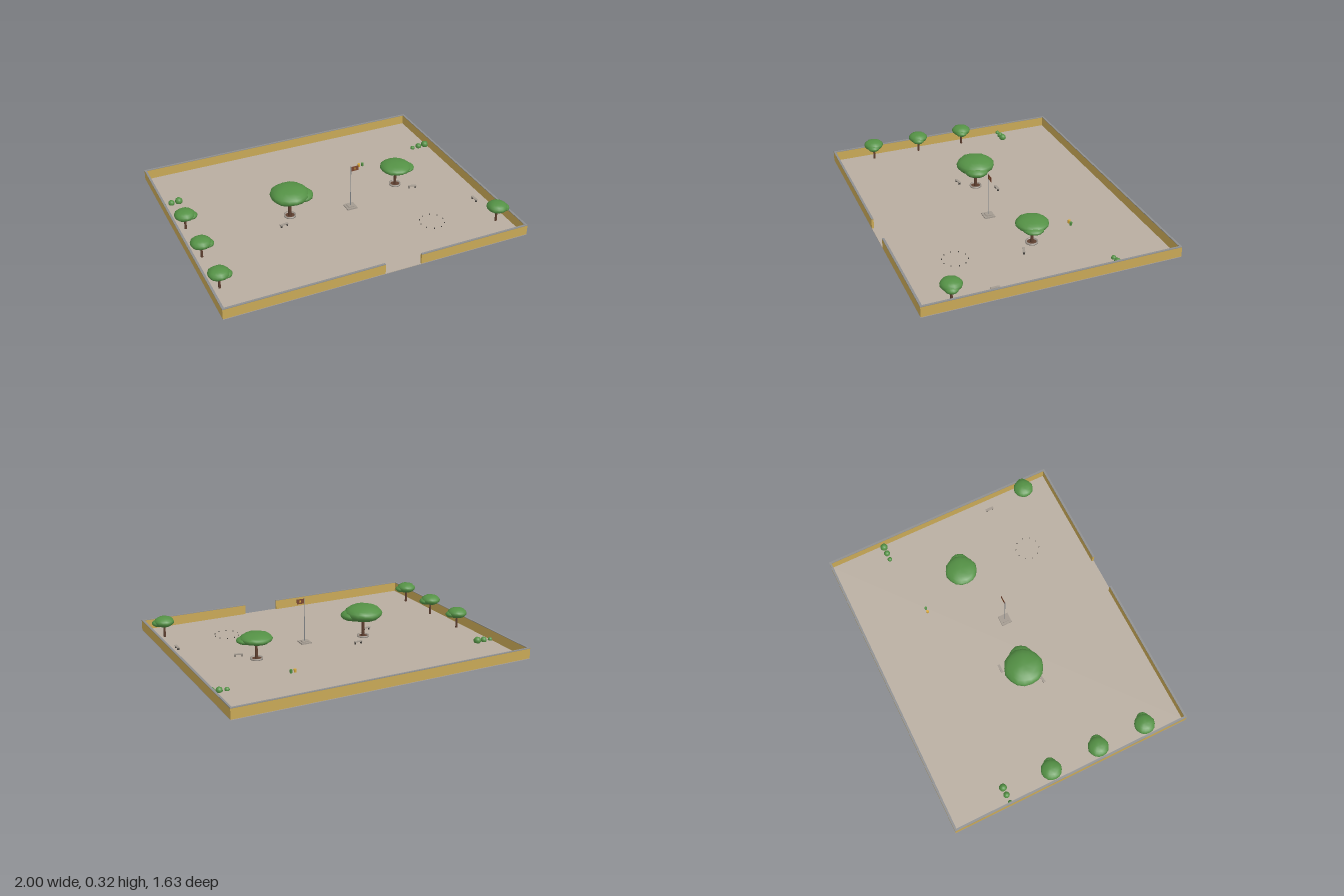
import * as THREE from 'three';
import { mergeVertices } from 'three/addons/utils/BufferGeometryUtils.js';

const mat = (name, color, side = THREE.FrontSide) => {
  const m = new THREE.MeshStandardMaterial({ color, side });
  m.name = name;
  return m;
};

export function createModel() {
  const M = {
    paving: mat('paving', 0xb8ada0),
    wall: mat('ochreWall', 0xc9a957),
    cap: mat('capStone', 0x8e8f90),
    leaf: mat('foliage', 0x549145),
    bark: mat('bark', 0x5f4030),
    stone: mat('stone', 0xa39a90),
    metal: mat('metal', 0x8a8d90),
    flag: mat('flagCloth', 0x7a4630),
    yellow: mat('yellow', 0xd9a93a),
    dark: mat('darkMetal', 0x45423e),
  };
  const root = new THREE.Group();
  root.name = 'courtyard';
  const G = 0.012; // ground level

  const add = (parent, name, geo, material, x, y, z) => {
    const m = new THREE.Mesh(geo, material);
    m.name = name;
    m.position.set(x, y, z);
    parent.add(m);
    return m;
  };
  const box = (p, n, m, w, h, d, x, y, z) => add(p, n, new THREE.BoxGeometry(w, h, d), m, x, y, z);
  const cyl = (p, n, m, r1, r2, h, x, y, z, s = 10) =>
    add(p, n, new THREE.CylinderGeometry(r1, r2, h, s), m, x, y, z);
  const group = (name, x, z, ry = 0) => {
    const g = new THREE.Group();
    g.name = name;
    g.position.set(x, 0, z);
    g.rotation.y = ry;
    root.add(g);
    return g;
  };

  // Paved ground
  box(root, 'ground', M.paving, 2, 0.004, 1.63, 0, G - 0.002, 0);

  // Perimeter walls with cap stones and a front entrance
  const T = 0.014, H = 0.064;
  const wall = (name, x0, x1, z0, z1) => {
    const w = x1 - x0, d = z1 - z0, x = (x0 + x1) / 2, z = (z0 + z1) / 2;
    box(root, name, M.wall, w, H, d, x, G + H / 2, z);
    box(root, name + 'Cap', M.cap, w, 0.004, d, x, G + H + 0.002, z);
  };
  wall('backWall', -1, 1, -0.815, -0.815 + T);
  wall('frontWallRight', -1, 0.01, 0.815 - T, 0.815);
  wall('frontWallLeft', 0.25, 1, 0.815 - T, 0.815);
  wall('rightWall', -1, -1 + T, -0.815 + T, 0.815 - T);
  wall('leftWall', 1 - T, 1, -0.815 + T, 0.815 - T);

  // Slightly lumpy foliage ball
  let blob = new THREE.SphereGeometry(1, 16, 10);
  blob.deleteAttribute('uv');
  blob.deleteAttribute('normal');
  blob = mergeVertices(blob, 1e-4);
  const P = blob.attributes.position, v = new THREE.Vector3();
  for (let i = 0; i < P.count; i++) {
    v.fromBufferAttribute(P, i);
    v.multiplyScalar(0.98 + 0.035 * Math.sin(5 * v.x + 2) * Math.cos(6 * v.z + 3 * v.y));
    P.setXYZ(i, v.x, v.y, v.z);
  }
  blob.computeVertexNormals();
  const lobe = (p, name, x, y, z, r, h) => add(p, name, blob, M.leaf, x, y, z).scale.set(r, h, r);

  // Trees: flat main crown with a lower side lobe
  const tree = (name, x, z, r, y, h, trunkR, planter) => {
    const g = group(name, x, z);
    cyl(g, 'trunk', M.bark, trunkR * 0.75, trunkR, y - G, 0, (y + G) / 2, 0);
    lobe(g, 'crown', 0, y, 0, r, h);
    lobe(g, 'sideLobe', r * 0.55, y - h * 0.24, r * 0.15, r * 0.63, h * 0.66);
    if (planter) {
      const ring = new THREE.LatheGeometry([[0.031, 0], [0.031, 0.01], [0.04, 0.01], [0.04, 0], [0.031, 0]]
        .map(([a, b]) => new THREE.Vector2(a, b)).reverse(), 24);
      add(g, 'planterRing', ring, M.stone, 0, G, 0).material.side = THREE.DoubleSide;
      cyl(g, 'soil', M.bark, 0.031, 0.031, 0.004, 0, G + 0.002, 0, 20);
    }
  };
  tree('largeTree', -0.27, 0.015, 0.128, 0.178, 0.054, 0.012, true);
  tree('mediumTree', 0.525, -0.05, 0.106, 0.15, 0.036, 0.01, true);
  for (const [x, z] of [[-0.925, -0.12], [-0.925, 0.21], [-0.925, 0.54], [0.908, 0.605]])
    tree('smallTree', x, z, 0.067, 0.118, 0.035, 0.008, false);

  // Shrub rows beside the side walls
  const shrubs = [[-0.98, 0.016], [-0.927, 0.021], [-0.877, 0.025], [0.87, 0.016], [0.918, 0.021], [0.968, 0.025]];
  for (const [x, r] of shrubs) lobe(root, 'shrub', x, r, -0.43, r, r);

  // Benches
  const benches = [[-0.17, -0.1, 0], [-0.35, 0.113, 0.15], [0.61, 0.04, -0.35], [0.91, 0.345, Math.PI / 2]];
  for (const [x, z, ry] of benches) {
    const g = group('bench', x, z, ry);
    box(g, 'seat', M.stone, 0.056, 0.005, 0.016, 0, G + 0.0165, 0);
    for (const s of [-1, 1]) box(g, 'benchLeg', M.dark, 0.006, 0.014, 0.013, s * 0.021, G + 0.007, 0);
  }

  // Flagpole on a stepped plinth
  const fp = group('flagpole', 0.13, 0.08);
  box(fp, 'plinth', M.stone, 0.07, 0.008, 0.07, 0, G + 0.004, 0);
  box(fp, 'plinthStep', M.stone, 0.04, 0.005, 0.04, 0, G + 0.0105, 0);
  cyl(fp, 'pole', M.metal, 0.0022, 0.0026, 0.305, 0, G + 0.1525, 0);
  box(fp, 'flag', M.flag, 0.05, 0.032, 0.002, 0.028, 0.297, 0);
  box(fp, 'flagPatch', M.yellow, 0.01, 0.014, 0.003, 0.028, 0.297, 0);

  // Pair of litter bins
  [[0.405, M.yellow], [0.432, M.leaf]].forEach(([x, m]) => {
    cyl(root, 'bin', m, 0.009, 0.008, 0.022, x, G + 0.011, -0.36, 12);
  });

  // Ring of small ground markers
  for (let i = 0; i < 10; i++) {
    const a = (i / 10) * Math.PI * 2;
    cyl(root, 'marker', M.dark, 0.003, 0.003, 0.006, 0.53 + 0.08 * Math.cos(a), G + 0.003, 0.45 + 0.08 * Math.sin(a), 6);
  }
  return root;
}
